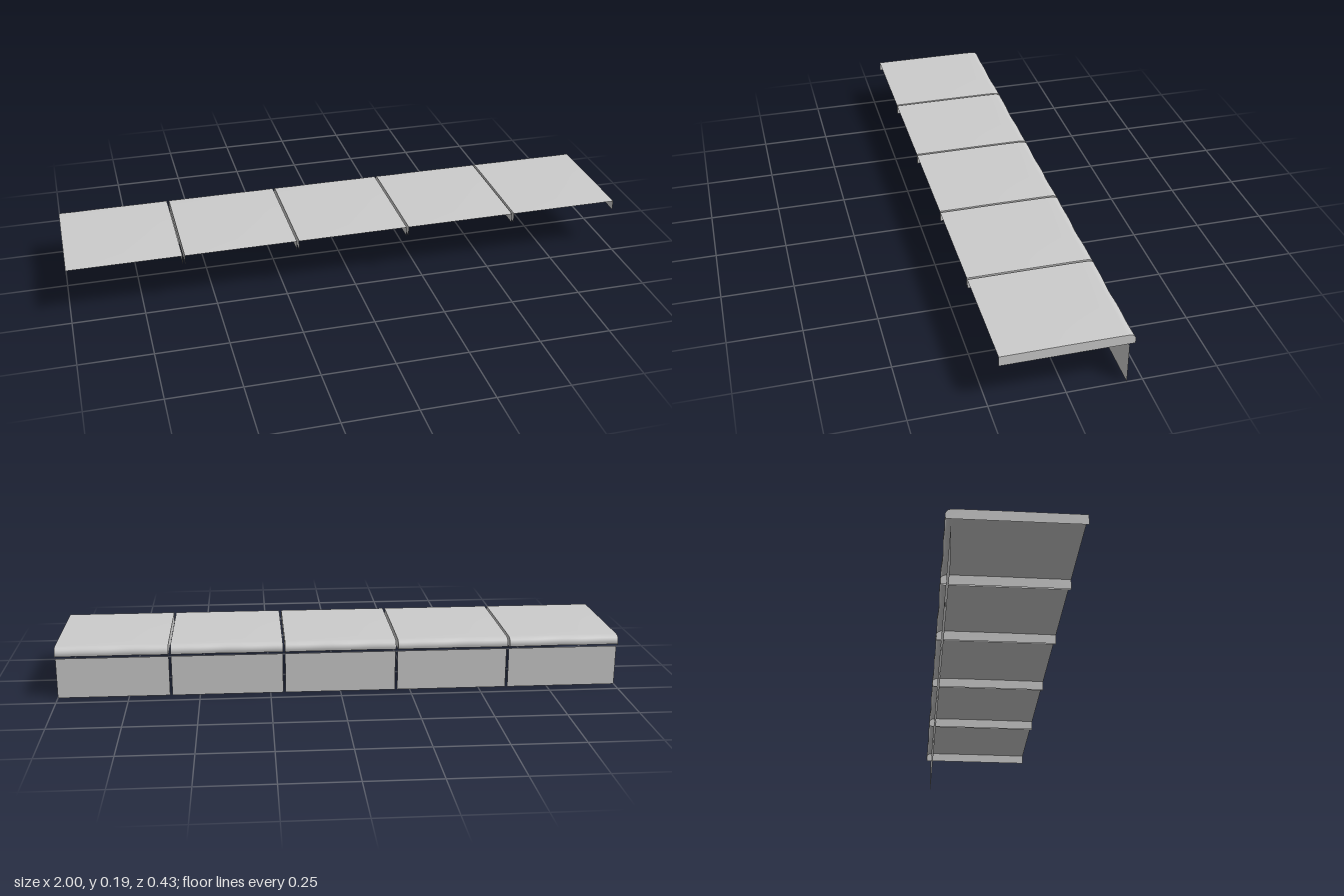
import * as THREE from 'three';

const COUNT = 5, GAP = 0.008, WIDTH = (2 - GAP * (COUNT - 1)) / COUNT;

// Tread section from the front edge over the rounded nose to the lip: [z, y]
const PROFILE = [
  [0.217, 0.188], [0.15, 0.1883], [0, 0.1888], [-0.15, 0.1885], [-0.19, 0.188], [-0.2, 0.187],
  [-0.207, 0.1845], [-0.212, 0.1805], [-0.215, 0.1755], [-0.217, 0.17], [-0.217, 0.164], [-0.2155, 0.157],
];

// Bent sheet with a slight crown and a gently worn nose
function treadGeometry(seed) {
  const cols = 24, pos = [], idx = [], n = PROFILE.length;
  for (let i = 0; i <= cols; i++) {
    const u = i / cols, swell = Math.sin(Math.PI * u);
    const wear = 0.0015 * swell * (1 + Math.sin(u * 13 + seed * 2.3));
    PROFILE.forEach(([z, y], j) => {
      const back = z < -0.2;
      pos.push((u - 0.5) * WIDTH, y + (j > 0 && !back ? 0.0012 * swell : 0), z + (back ? wear : 0));
      if (i < cols && j < n - 1) {
        const a = i * n + j, b = a + n;
        idx.push(a, b, a + 1, b, b + 1, a + 1);
      }
    });
  }
  const g = new THREE.BufferGeometry();
  g.setAttribute('position', new THREE.Float32BufferAttribute(pos, 3));
  g.setIndex(idx);
  g.computeVertexNormals();
  return g;
}

// End plate filling the section down to its straight lower edge
function endGeometry() {
  const pts = PROFILE.map(([z, y]) => new THREE.Vector2(-z, y));
  pts.push(new THREE.Vector2(0.215, 0.153), new THREE.Vector2(-0.217, 0.153));
  return new THREE.ShapeGeometry(new THREE.Shape(pts)).rotateY(Math.PI / 2);
}

export function createModel() {
  const model = new THREE.Group();
  model.name = 'stepRow';
  const stone = new THREE.MeshStandardMaterial({ color: 0xcccccc, side: THREE.DoubleSide });
  stone.name = 'light grey';
  const endPlate = endGeometry();
  const riserPlate = new THREE.PlaneGeometry(WIDTH, 0.145).rotateY(Math.PI);

  const add = (parent, name, geometry, x = 0, y = 0, z = 0) => {
    const mesh = new THREE.Mesh(geometry, stone);
    mesh.name = name;
    mesh.position.set(x, y, z);
    parent.add(mesh);
    return mesh;
  };

  for (let i = 0; i < COUNT; i++) {
    const step = new THREE.Group();
    step.name = 'step' + (i + 1);
    step.position.x = -1 + WIDTH / 2 + i * (WIDTH + GAP);
    add(step, 'tread', treadGeometry(i), 0);
    add(step, 'leftEnd', endPlate, WIDTH / 2);
    add(step, 'rightEnd', endPlate, -WIDTH / 2);
    add(step, 'riser', riserPlate, 0, 0.0725, -0.198);
    model.add(step);
  }
  return model;
}
